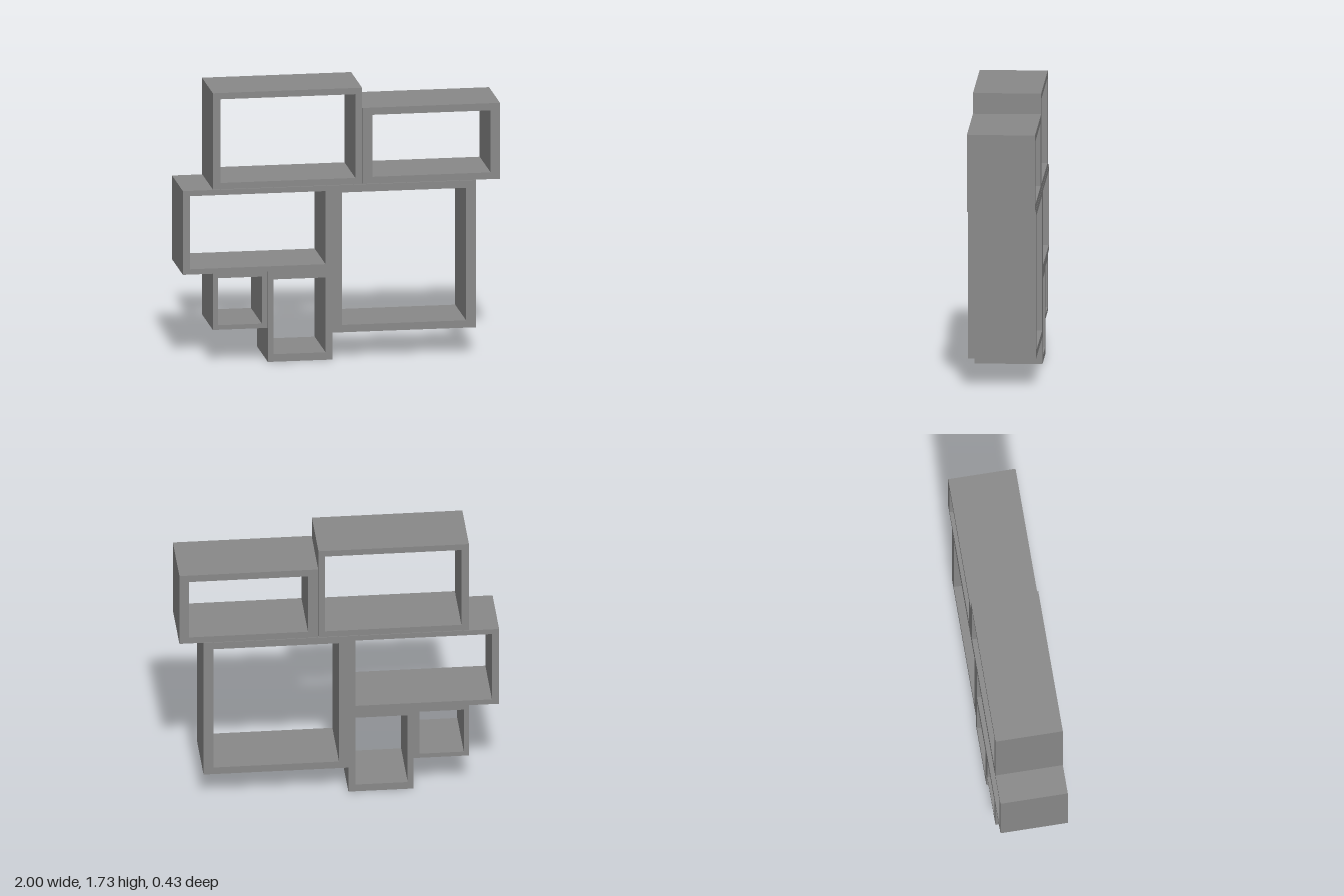
import * as THREE from 'three';

const DEPTH = 0.425;

// Each cubby: outer and inner rectangles as [left, right, bottom, top]
const CUBBIES = [
  { name: 'upperWideCubby', outer: [-0.811, 0.13, 1.117, 1.733], inner: [-0.764, 0.088, 1.157, 1.693] },
  { name: 'upperLowCubby', outer: [0.132, 1, 1.117, 1.603], inner: [0.196, 0.941, 1.16, 1.557] },
  { name: 'middleWideCubby', outer: [-1, -0.057, 0.578, 1.114], inner: [-0.955, -0.1, 0.612, 1.08] },
  { name: 'largeCubby', outer: [-0.057, 0.849, 0.172, 1.114], inner: [0.002, 0.786, 0.219, 1.067] },
  { name: 'smallCubby', outer: [-0.811, -0.465, 0.218, 0.578], inner: [-0.779, -0.502, 0.247, 0.548] },
  { name: 'tallCubby', outer: [-0.464, -0.057, 0, 0.578], inner: [-0.428, -0.1, 0.048, 0.527] },
];

const corners = ([l, r, b, t]) =>
  [[l, b], [r, b], [r, t], [l, t]].map(([x, y]) => new THREE.Vector2(x, y));

export function createModel() {
  const model = new THREE.Group();
  model.name = 'cubbyShelf';
  const material = new THREE.MeshStandardMaterial({ color: 0x888888 });

  // Open rectangular frames, stacked into one staggered shelf
  for (const { name, outer, inner } of CUBBIES) {
    const shape = new THREE.Shape(corners(outer));
    shape.holes.push(new THREE.Path(corners(inner).reverse()));
    const geometry = new THREE.ExtrudeGeometry(shape, { depth: DEPTH, bevelEnabled: false });
    geometry.translate(0, 0, -DEPTH / 2);
    const mesh = new THREE.Mesh(geometry, material);
    mesh.name = name;
    model.add(mesh);
  }
  return model;
}
